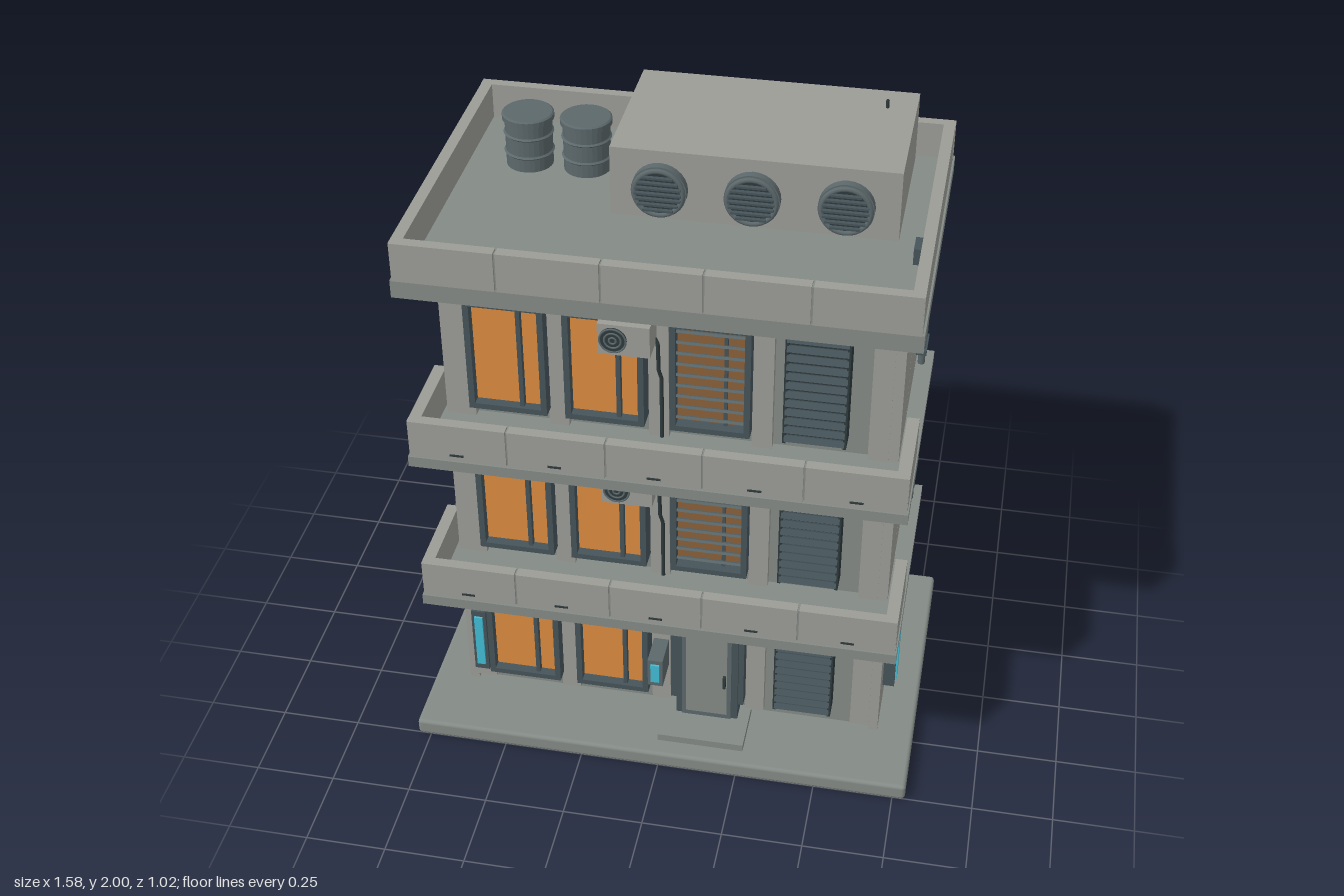
import * as THREE from 'three';
import { RoundedBoxGeometry } from 'three/addons/geometries/RoundedBoxGeometry.js';

const mat = (color) => new THREE.MeshStandardMaterial({ color });

export function createModel() {
  const model = new THREE.Group();
  const light = mat(0x9c9c97), green = mat(0x848b86), steel = mat(0x5c686b), dark = mat(0x2e393b);
  const frameMat = mat(0x46545a), orange = mat(0xdb8c3f), cyan = mat(0x43bdd6), brown = mat(0x8a6038);

  const add = (name, geo, material, parent = model) => {
    const m = new THREE.Mesh(geo, material);
    m.name = name;
    parent.add(m);
    return m;
  };
  // Box given by its limits along each axis
  const box = (name, x0, x1, y0, y1, z0, z1, material, parent) => {
    const m = add(name, new THREE.BoxGeometry(x1 - x0, y1 - y0, z1 - z0), material, parent);
    m.position.set((x0 + x1) / 2, (y0 + y1) / 2, (z0 + z1) / 2);
    return m;
  };
  const group = (name, parent = model) => {
    const g = new THREE.Group();
    g.name = name;
    parent.add(g);
    return g;
  };
  // Cylinder whose axis points to the front
  const disc = (name, x, y, z0, z1, r, material, parent) => {
    const m = add(name, new THREE.CylinderGeometry(r, r, z1 - z0, 28), material, parent);
    m.rotation.x = Math.PI / 2;
    m.position.set(x, y, (z0 + z1) / 2);
    return m;
  };
  const tube = (name, pts, r, material, parent) => {
    const path = new THREE.CurvePath();
    const v = pts.map((p) => new THREE.Vector3(...p));
    for (let i = 1; i < v.length; i++) path.add(new THREE.LineCurve3(v[i - 1], v[i]));
    return add(name, new THREE.TubeGeometry(path, 48, r, 8), material, parent);
  };

  // Ground plate and building core
  const base = add('basePlate', new RoundedBoxGeometry(1.58, 0.055, 1.02, 2, 0.012), green);
  base.position.set(0, 0.0325, 0);
  box('baseUnderside', -0.78, 0.78, 0, 0.02, -0.5, 0.5, green);
  box('core', -0.66, 0.66, 0.05, 1.7, -0.47, 0.255, green);

  // Side wall panels and rear corner strips
  const seams = [0.28, 0.05, -0.18, -0.41];
  for (const s of [-1, 1]) {
    for (let i = 0; i < 3; i++) {
      const x0 = s > 0 ? 0.645 : -0.675;
      box('sidePanel', x0, x0 + 0.03, 0.06, 1.65, seams[i + 1] + 0.002, seams[i] - 0.002, light);
    }
    for (const y of [0.59, 1.12])
      box('sideSeam', s * 0.668 - 0.009, s * 0.668 + 0.009, y - 0.005, y + 0.005, -0.41, -0.3, steel);
    box('cornerStrip', s * 0.655 - 0.014, s * 0.655 + 0.014, 0.06, 1.7, -0.47, -0.42, green);
  }

  // Frame with four bars around an opening
  const windowFrame = (x0, x1, y0, y1, parent) => {
    const t = 0.018, z0 = 0.25, z1 = 0.325;
    box('frameLeft', x0, x0 + t, y0, y1, z0, z1, frameMat, parent);
    box('frameRight', x1 - t, x1, y0, y1, z0, z1, frameMat, parent);
    box('frameTop', x0 + t, x1 - t, y1 - t, y1, z0, z1, frameMat, parent);
    box('frameBottom', x0 + t, x1 - t, y0, y0 + t, z0, z1, frameMat, parent);
  };
  const slats = (x0, x1, y0, y1, n, z, h, material, parent) => {
    for (let i = 0; i < n; i++) {
      const y = y0 + ((i + 0.5) * (y1 - y0)) / n;
      const m = box('slat', x0, x1, y - h / 2, y + h / 2, z - 0.01, z + 0.01, material, parent);
      m.rotation.x = -0.5;
    }
  };

  for (let f = 0; f < 3; f++) {
    const y = f * 0.535;
    const floor = group('floor' + (f + 1));
    const low = y + 0.14, high = y + 0.515;
    // Pilasters and header beam
    for (const [a, b] of [[-0.645, -0.585], [-0.36, -0.3], [-0.06, 0], [0.245, 0.305], [0.585, 0.645]]) {
      box('pilaster', a, b, y + 0.08, y + 0.555, 0.25, 0.28, light, floor);
      box('pilasterCap', a - 0.005, b + 0.005, y + 0.545, y + 0.56, 0.25, 0.287, light, floor);
    }
    box('header', -0.65, 0.65, y + 0.52, y + 0.575, 0.25, 0.272, light, floor);
    // Lit windows with an off-centre mullion
    for (const x of [-0.59, -0.3]) {
      windowFrame(x, x + 0.235, low, high, floor);
      box('glass', x + 0.015, x + 0.22, low + 0.015, high - 0.015, 0.25, 0.295, orange, floor);
      box('mullion', x + 0.152, x + 0.165, low + 0.015, high - 0.015, 0.29, 0.315, frameMat, floor);
    }
    // Lit window behind blinds
    windowFrame(0.01, 0.245, low, high, floor);
    box('blindGlass', 0.025, 0.23, low + 0.015, high - 0.015, 0.25, 0.29, brown, floor);
    box('blindMullion', 0.165, 0.175, low + 0.015, high - 0.015, 0.285, 0.3, frameMat, floor);
    slats(0.027, 0.228, low + 0.02, high - 0.02, 9, 0.305, 0.008, steel, floor);
    // Closed louvre shutter
    box('shutterBack', 0.345, 0.52, low, high, 0.25, 0.29, dark, floor);
    box('shutterEdgeLeft', 0.34, 0.35, low, high, 0.25, 0.325, dark, floor);
    box('shutterEdgeRight', 0.515, 0.525, low, high, 0.25, 0.325, dark, floor);
    slats(0.345, 0.52, low, high, 12, 0.32, 0.02, frameMat, floor);
    // Ceiling lamp
    box('lampBody', -0.19, 0, y + 0.572, y + 0.585, 0.35, 0.405, frameMat, floor);
    box('lampGlow', -0.17, -0.02, y + 0.565, y + 0.573, 0.36, 0.395, orange, floor);

    // Air conditioner with fan and hose on the upper floors
    if (f > 0) {
      const ac = group('airConditioner', floor);
      box('acBody', -0.18, -0.03, y + 0.435, y + 0.535, 0.3, 0.395, light, ac);
      box('acBracket', -0.17, -0.04, y + 0.425, y + 0.437, 0.27, 0.38, steel, ac);
      disc('acFan', -0.135, y + 0.486, 0.39, 0.4, 0.04, dark, ac);
      for (const r of [0.038, 0.024, 0.01]) {
        const ring = add('acFanRing', new THREE.TorusGeometry(r, 0.003, 6, 24), steel, ac);
        ring.position.set(-0.135, y + 0.486, 0.401);
      }
      tube('acHose', [[-0.04, y + 0.46, 0.31], [-0.025, y + 0.43, 0.31], [-0.025, y + 0.33, 0.3],
        [-0.018, y + 0.3, 0.295], [-0.018, y + 0.09, 0.295]], 0.006, dark, ac);
    }
  }

  // Row of separate wall panels along a front edge
  const frontPanels = (name, y0, y1, parent) => {
    const cuts = [-0.725, -0.43, -0.14, 0.14, 0.43, 0.725];
    for (let i = 0; i < 5; i++)
      box(name, cuts[i] + 0.003, cuts[i + 1] - 0.003, y0, y1, 0.475, 0.508, light, parent);
    box(name + 'Joint', -0.715, 0.715, y0, y1 - 0.006, 0.48, 0.5, green, parent);
  };

  // Balconies with side returns and ledges
  for (const y of [0.58, 1.115]) {
    const balcony = group('balcony');
    box('balconySlab', -0.727, 0.727, y, y + 0.035, 0.22, 0.513, green, balcony);
    frontPanels('balconyPanel', y + 0.033, y + 0.158, balcony);
    for (const s of [-1, 1]) {
      box('balconySide', s * 0.705 - 0.018, s * 0.705 + 0.018, y + 0.033, y + 0.158, 0.22, 0.505, light, balcony);
      box('sideLedge', s * 0.692 - 0.035, s * 0.692 + 0.035, y, y + 0.035, -0.31, 0.23, green, balcony);
    }
    for (let i = -2; i <= 2; i++)
      box('drainSlot', i * 0.29 - 0.02, i * 0.29 + 0.02, y + 0.052, y + 0.058, 0.5, 0.511, dark, balcony);
  }

  // Roof slab and parapet
  const roof = group('roof');
  box('roofSlab', -0.73, 0.73, 1.695, 1.75, -0.475, 0.505, green, roof);
  box('roofDeck', -0.7, 0.7, 1.74, 1.76, -0.45, 0.48, green, roof);
  frontPanels('parapetPanel', 1.75, 1.87, roof);
  box('parapetBack', -0.725, 0.725, 1.75, 1.87, -0.472, -0.44, light, roof);
  for (const s of [-1, 1])
    box('parapetSide', s * 0.707 - 0.017, s * 0.707 + 0.017, 1.75, 1.87, -0.47, 0.505, light, roof);

  // Rooftop ventilation unit with three fans and a mast
  const unit = group('ventilationUnit', roof);
  box('unitBody', -0.21, 0.615, 1.75, 1.975, -0.42, 0.06, light, unit);
  for (const x of [-0.065, 0.2, 0.465]) {
    disc('fanHousing', x, 1.858, 0.05, 0.085, 0.08, steel, unit);
    const rim = add('fanRim', new THREE.TorusGeometry(0.07, 0.008, 8, 28), steel, unit);
    rim.position.set(x, 1.858, 0.09);
    disc('fanOpening', x, 1.858, 0.08, 0.092, 0.067, dark, unit);
    for (let i = -3; i <= 3; i++) {
      const w = Math.sqrt(0.067 ** 2 - (i * 0.017) ** 2);
      box('fanSlat', x - w, x + w, 1.855 + i * 0.017, 1.861 + i * 0.017, 0.09, 0.104, frameMat, unit);
    }
  }
  const mast = add('mast', new THREE.CylinderGeometry(0.005, 0.005, 0.03, 8), dark, unit);
  mast.position.set(0.53, 1.985, -0.315);

  // Water tanks with hoops
  for (const x of [-0.51, -0.335]) {
    const p = [[0, 1.75], [0.07, 1.75], [0.07, 1.8], [0.075, 1.805], [0.07, 1.81], [0.07, 1.86],
      [0.075, 1.865], [0.07, 1.87], [0.07, 1.905], [0.077, 1.908], [0.077, 1.924], [0.072, 1.928], [0, 1.928]];
    const tank = add('waterTank', new THREE.LatheGeometry(p.map((q) => new THREE.Vector2(...q)), 28), steel, roof);
    tank.material = tank.material.clone();
    tank.material.flatShading = true;
    tank.position.set(x, 0, -0.19);
  }

  // Front door with step, handle and entry panel
  const entrance = group('entrance');
  box('doorFrame', 0.03, 0.228, 0.075, 0.46, 0.25, 0.335, frameMat, entrance);
  box('doorLeaf', 0.05, 0.208, 0.09, 0.44, 0.33, 0.345, steel, entrance);
  box('doorPanel', 0.063, 0.195, 0.11, 0.425, 0.34, 0.349, green, entrance);
  box('doorHandle', 0.183, 0.192, 0.235, 0.28, 0.345, 0.362, dark, entrance);
  box('doorStep', -0.01, 0.265, 0.055, 0.085, 0.27, 0.45, green, entrance);
  box('entryPanel', -0.053, -0.005, 0.235, 0.34, 0.27, 0.385, steel, entrance);
  box('entryScreen', -0.043, -0.015, 0.255, 0.325, 0.38, 0.392, cyan, entrance);

  // Illuminated signs on the front and on the left wall
  box('frontSign', -0.637, -0.59, 0.16, 0.405, 0.27, 0.335, frameMat);
  box('frontSignGlow', -0.627, -0.6, 0.185, 0.385, 0.33, 0.342, cyan);
  for (const y of [0.165, 1.55]) {
    box('sideSign', 0.665, 0.712, y, y + 0.26, 0.11, 0.176, frameMat);
    box('sideSignGlow', 0.7, 0.718, y + 0.02, y + 0.24, 0.125, 0.161, cyan);
  }

  // Drain pipes with clamps on the left wall
  for (const z of [-0.202, -0.257])
    tube('drainPipe', [[0.692, 0.08, z], [0.692, 0.48, z], [0.692, 0.55, z - 0.037], [0.692, 1.54, z - 0.037],
      [0.692, 1.61, z]], 0.011, steel);
  for (const [y, shift] of [[0.18, 0], [0.47, 0], [0.72, -0.037], [1.01, -0.037], [1.2, -0.037], [1.49, -0.037]])
    box('pipeClamp', 0.67, 0.707, y - 0.008, y + 0.008, -0.28 + shift, -0.18 + shift, frameMat);

  return model;
}
